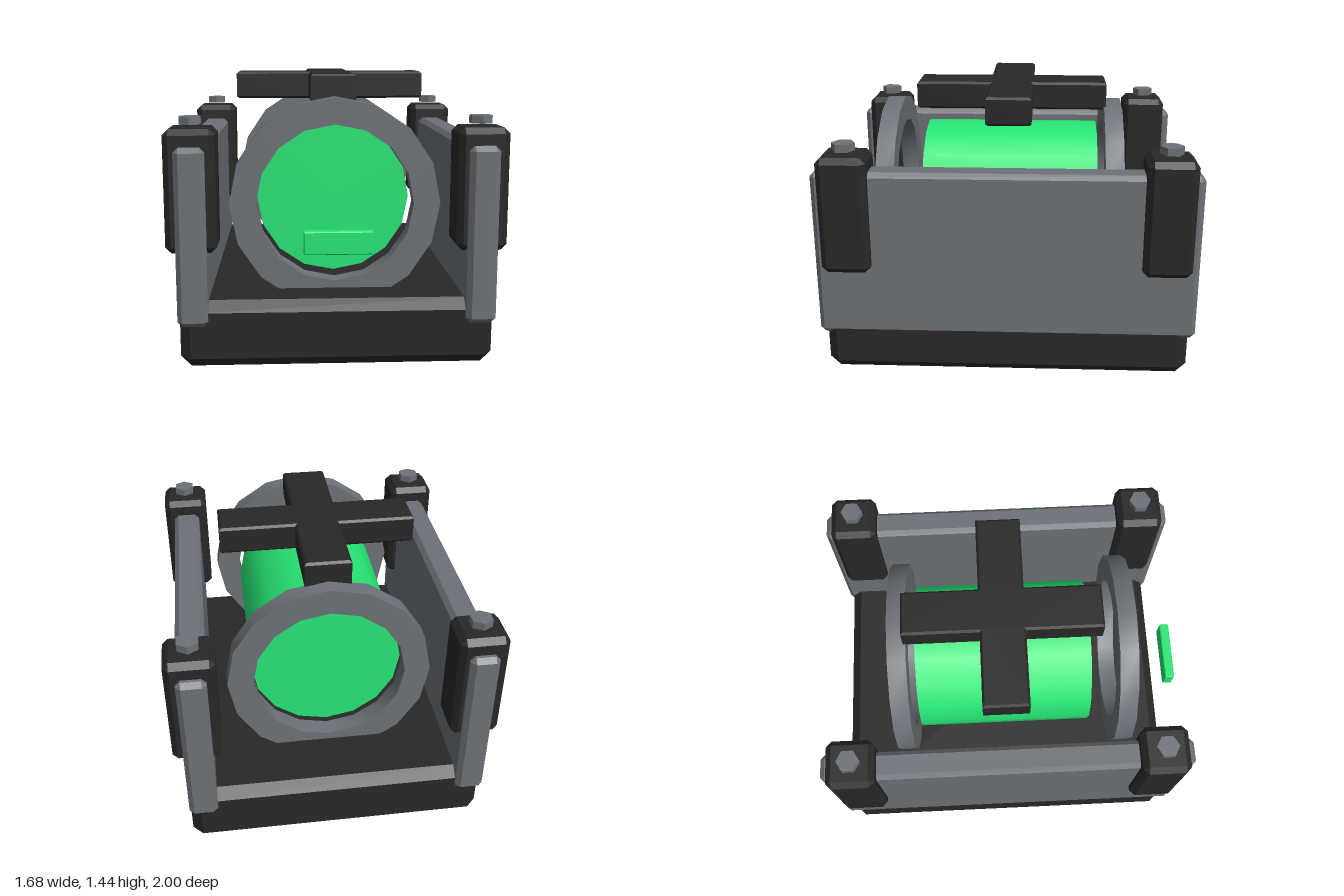
import * as THREE from 'three';
import { toCreasedNormals } from 'three/addons/utils/BufferGeometryUtils.js';
import { ConvexGeometry } from 'three/addons/geometries/ConvexGeometry.js';

// Box with every edge cut by a flat chamfer b
function chamferBox(w, h, d, b) {
  const points = [];
  for (const x of [-w / 2, w / 2]) for (const y of [-h / 2, h / 2]) for (const z of [-d / 2, d / 2]) {
    const ix = x - Math.sign(x) * b, iy = y - Math.sign(y) * b, iz = z - Math.sign(z) * b;
    points.push(new THREE.Vector3(x, iy, iz), new THREE.Vector3(ix, y, iz), new THREE.Vector3(ix, iy, z));
  }
  return new ConvexGeometry(points);
}

// Plus-shaped plate lying flat, with chamfered rims
function crossPlate(reach, half, height, b) {
  const r = reach - b, a = half - b;
  const shape = new THREE.Shape([
    [a, a], [a, r], [-a, r], [-a, a], [-r, a], [-r, -a],
    [-a, -a], [-a, -r], [a, -r], [a, -a], [r, -a], [r, a],
  ].map(([x, y]) => new THREE.Vector2(x, y)));
  const geo = new THREE.ExtrudeGeometry(shape, {
    depth: height - 2 * b, bevelEnabled: true, bevelThickness: b, bevelSize: b, bevelSegments: 1,
  });
  return geo.center().rotateX(-Math.PI / 2);
}

// Square-section ring facing along z
function ring(outer, inner, depth) {
  const h = depth / 2;
  const profile = [[inner, -h], [outer, -h], [outer, h], [inner, h], [inner, -h]]
    .map(([x, y]) => new THREE.Vector2(x, y));
  return toCreasedNormals(new THREE.LatheGeometry(profile, 16), 0.6).rotateX(Math.PI / 2);
}

export function createModel() {
  const model = new THREE.Group();
  model.name = 'canisterCradle';

  const material = (name, color) => {
    const m = new THREE.MeshStandardMaterial({ color });
    m.name = name;
    return m;
  };
  const dark = material('charcoal', 0x282828);
  const grey = material('steelGrey', 0x6c7278);
  const green = material('green', 0x28ed78);

  const add = (name, geometry, mat, x, y, z) => {
    const mesh = new THREE.Mesh(geometry, mat);
    mesh.name = name;
    mesh.position.set(x, y, z);
    model.add(mesh);
  };

  // Base block
  add('base', chamferBox(1.566, 0.34, 1.91, 0.053), dark, 0, 0.17, -0.013);

  // Side walls, corner posts and hex bolts
  const wall = chamferBox(0.15, 0.885, 1.973, 0.025);
  const post = chamferBox(0.252, 0.61, 0.252, 0.03);
  const bolt = new THREE.CylinderGeometry(0.06, 0.06, 0.04, 6).toNonIndexed();
  bolt.computeVertexNormals();
  for (const [side, sx] of [['left', 1], ['right', -1]]) {
    add(side + 'Wall', wall, grey, sx * 0.713, 0.664, -0.013);
    for (const [end, z] of [['Front', 0.805], ['Back', -0.831]]) {
      add(side + end + 'Post', post, dark, sx * 0.716, 0.887, z);
      add(side + end + 'Bolt', bolt, grey, sx * 0.716, 1.226, z);
    }
  }

  // Canister between two end rings
  const canister = new THREE.CylinderGeometry(0.407, 0.407, 0.957, 16).rotateX(Math.PI / 2);
  add('canister', canister, green, 0, 0.785, -0.013);
  const endRing = ring(0.543, 0.406, 0.1);
  add('frontRing', endRing, grey, 0, 0.785, 0.65);
  add('backRing', endRing, grey, 0, 0.785, -0.576);

  // Cross on top and plate at the front
  add('topCross', crossPlate(0.526, 0.12, 0.15, 0.012), dark, 0, 1.363, -0.013);
  add('frontPlate', chamferBox(0.336, 0.114, 0.054, 0.005), green, 0, 0.646, 0.973);

  return model;
}
